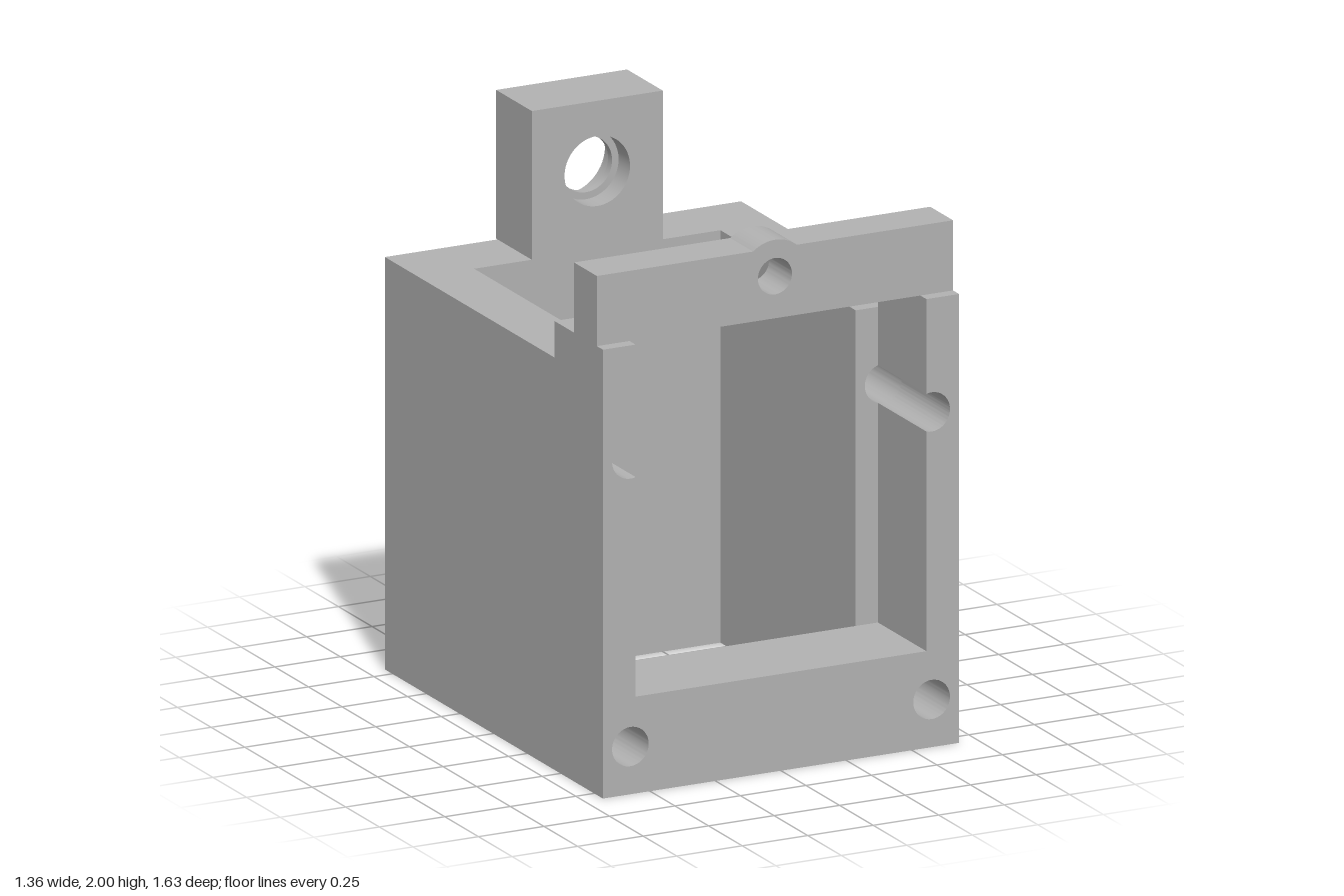
import * as THREE from 'three';
import { toCreasedNormals } from 'three/addons/utils/BufferGeometryUtils.js';

const HOLE_X = 0.575, HOLE_R = 0.07, LOW_Y = 0.17, HIGH_Y = 1.195;
const SCREW_Y = 1.75; // axis of the hole through the top bar and rear block

function rectShape(x0, y0, x1, y1) {
  return new THREE.Shape([
    new THREE.Vector2(x0, y0), new THREE.Vector2(x1, y0),
    new THREE.Vector2(x1, y1), new THREE.Vector2(x0, y1),
  ]);
}

function addHole(shape, x, y, r) {
  const path = new THREE.Path();
  path.absarc(x, y, r, 0, Math.PI * 2, true);
  shape.holes.push(path);
}

export function createModel() {
  const group = new THREE.Group();
  const grey = new THREE.MeshStandardMaterial({ color: 0xb2b2b2 });
  grey.name = 'grey';

  // Extrudes an xy outline between two depths
  function slab(name, shape, z0, z1) {
    let geo = new THREE.ExtrudeGeometry(shape, { depth: z1 - z0, bevelEnabled: false, curveSegments: 32 });
    geo.translate(0, 0, z0);
    geo = toCreasedNormals(geo, 0.5);
    const mesh = new THREE.Mesh(geo, grey);
    mesh.name = name;
    group.add(mesh);
  }

  // Front frame: U shape whose posts are grooved by the upper bolt holes
  const a = Math.acos(-0.02 / HOLE_R);
  const frame = new THREE.Shape();
  frame.moveTo(-0.68, 0);
  frame.lineTo(0.68, 0);
  frame.lineTo(0.68, 1.6);
  frame.lineTo(0.555, 1.6);
  frame.absarc(HOLE_X, HIGH_Y, HOLE_R, a, -a, true);
  frame.lineTo(0.555, 0.345);
  frame.lineTo(-0.555, 0.345);
  frame.absarc(-HOLE_X, HIGH_Y, HOLE_R, a - Math.PI, -Math.PI - a, true);
  frame.lineTo(-0.555, 1.6);
  frame.lineTo(-0.68, 1.6);
  frame.closePath();
  for (const s of [-1, 1]) addHole(frame, s * HOLE_X, LOW_Y, HOLE_R);
  slab('frontFrame', frame, 0.455, 0.815);

  // Side walls with the bolt holes running lengthwise
  for (const s of [-1, 1]) {
    const wall = s > 0 ? rectShape(0.47, 0, 0.68, 1.47) : rectShape(-0.68, 0, -0.47, 1.47);
    for (const y of [LOW_Y, HIGH_Y]) addHole(wall, s * HOLE_X, y, HOLE_R);
    slab(s > 0 ? 'leftWall' : 'rightWall', wall, -0.55, 0.455);
  }

  // Back wall with four bolt holes and two large central holes
  const back = rectShape(-0.68, 0, 0.68, 1.47);
  for (const y of [LOW_Y, HIGH_Y]) {
    for (const s of [-1, 1]) addHole(back, s * HOLE_X, y, HOLE_R);
  }
  for (const y of [0.255, 1.11]) addHole(back, 0, y, 0.12);
  slab('backWall', back, -0.805, -0.55);

  // Top bar with a rounded hump over its hole
  const bar = new THREE.Shape();
  const h = Math.asin(0.1 / 0.13);
  bar.moveTo(-0.68, 1.6);
  bar.lineTo(0.68, 1.6);
  bar.lineTo(0.68, 1.85);
  bar.absarc(0, SCREW_Y, 0.13, h, Math.PI - h, false);
  bar.lineTo(-0.68, 1.85);
  bar.closePath();
  addHole(bar, 0, SCREW_Y, 0.065);
  slab('topBar', bar, 0.6, 0.77);

  // Rear block: layers form the stepped bore
  const steps = [
    [-0.815, -0.785, 0.178], [-0.785, -0.735, 0.15], [-0.735, -0.665, 0.125],
    [-0.665, -0.635, 0.1], [-0.635, -0.55, 0.125],
  ];
  steps.forEach(([z0, z1, r], i) => {
    const block = rectShape(-0.25, 1.47, 0.25, 2);
    addHole(block, 0, SCREW_Y, r);
    slab(`rearBlockLayer${i + 1}`, block, z0, z1);
  });

  return group;
}
